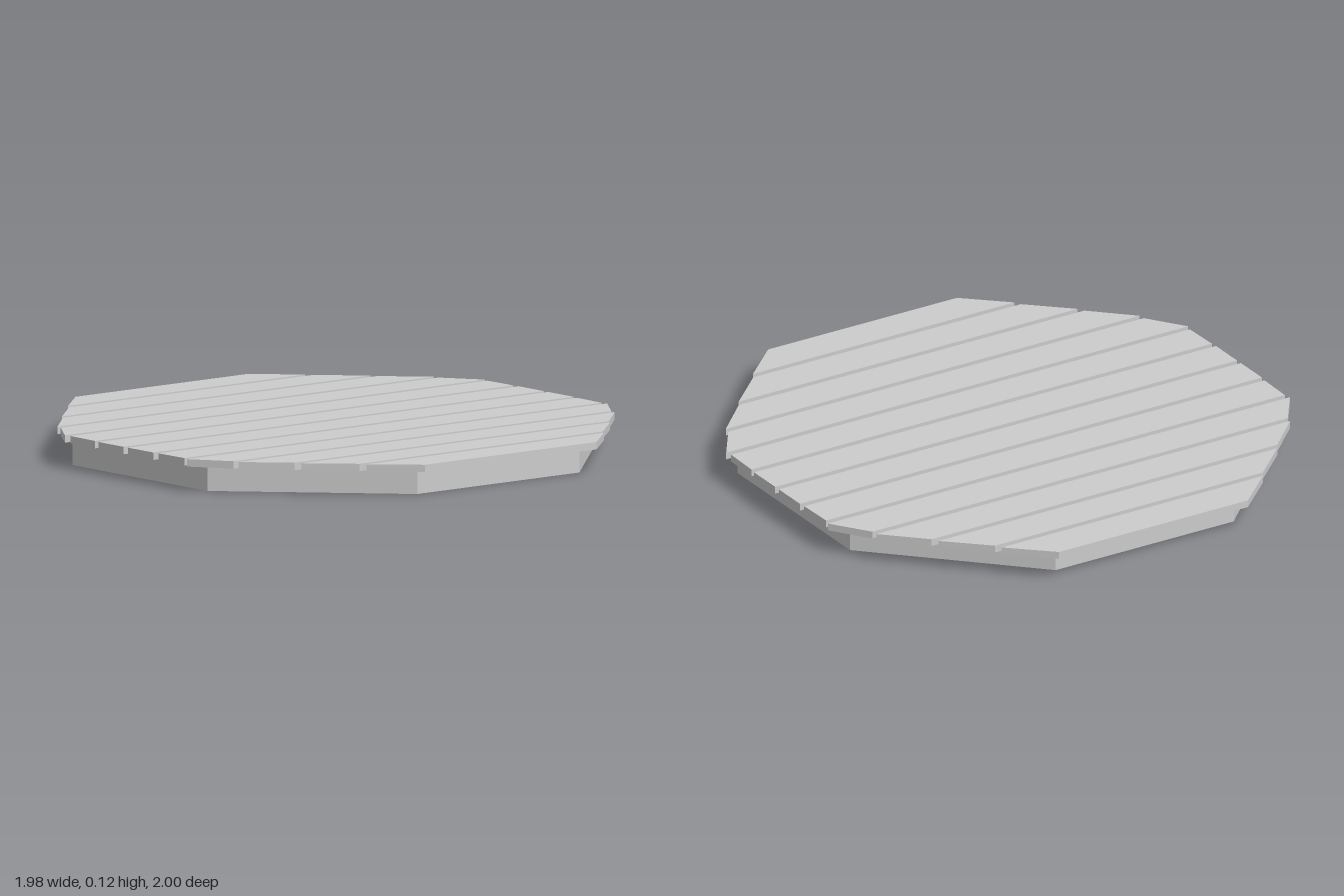
import * as THREE from 'three';

const material = new THREE.MeshStandardMaterial({ color: 0xcccccc, flatShading: true });

// Extrudes a flat outline of [x, z] points upward from y0 to y1.
// The hole is wound against the outline so its walls face inward.
function slab(name, outline, y0, y1, hole) {
  const toPoints = (pts) => pts.map(([x, z]) => new THREE.Vector2(x, -z));
  const shape = new THREE.Shape(toPoints(outline));
  if (hole) shape.holes.push(new THREE.Path(toPoints(hole).reverse()));
  const geometry = new THREE.ExtrudeGeometry(shape, { depth: y1 - y0, bevelEnabled: false });
  geometry.rotateX(-Math.PI / 2);
  geometry.translate(0, y0, 0);
  const mesh = new THREE.Mesh(geometry, material);
  mesh.name = name;
  return mesh;
}

// Regular octagon with flat sides facing the axes.
function octagon(apothem, cz) {
  const r = apothem / Math.cos(Math.PI / 8);
  return Array.from({ length: 8 }, (_, i) => {
    const a = (i + 0.5) * Math.PI / 4;
    return [r * Math.cos(a), cz + r * Math.sin(a)];
  });
}

export function createModel() {
  const group = new THREE.Group();
  const frameHeight = 0.09, top = 0.117;
  const apothem = 0.915, board = 0.045, frameZ = 0.013;

  // Octagonal support frame
  group.add(slab('frame', octagon(apothem, frameZ), 0, frameHeight,
    octagon(apothem - board, frameZ)));

  // Diagonal joist across the frame, at right angles to the planks
  const joist = new THREE.Mesh(
    new THREE.BoxGeometry(2 * (apothem - board), frameHeight, board), material);
  joist.name = 'joist';
  joist.rotation.y = -Math.PI / 4;
  joist.position.set(0.005, frameHeight / 2, -0.003);
  group.add(joist);

  // Diagonal planks: s = x + z runs across them, d = x - z along them.
  // Each entry holds the half-length at the inner and outer edge.
  const ends = [[1.39, 1.39], [1.385, 1.38], [1.39, 1.25], [1.245, 1.04], [1.02, 0.805], [0.786, 0.568]];
  const pitch = 0.2365, gap = 0.035;
  const planks = new THREE.Group();
  planks.name = 'planks';
  for (const side of [-1, 1]) {
    ends.forEach(([dIn, dOut], i) => {
      const sIn = side * (gap / 2 + i * pitch);
      const sOut = side * ((i + 1) * pitch - gap / 2);
      const slip = -side * 0.002 * i; // outer planks sit slightly further along z
      const outline = [[sIn, -dIn], [sIn, dIn], [sOut, dOut], [sOut, -dOut]]
        .map(([s, d]) => [(s + d + slip) / 2, (s - d - slip) / 2]);
      planks.add(slab('plank', outline, frameHeight, top));
    });
  }
  group.add(planks);
  return group;
}
